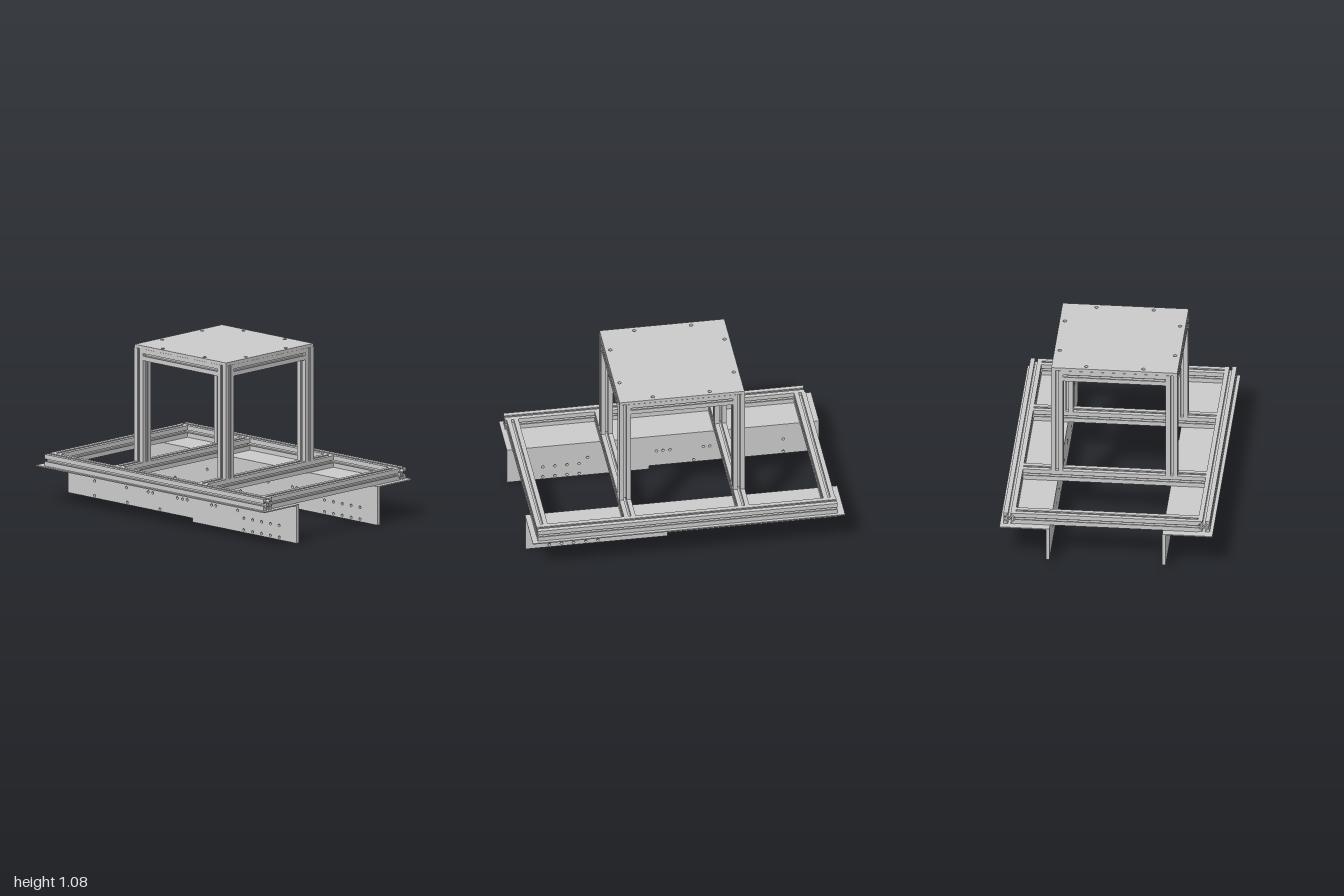
import * as THREE from 'three';

const material = new THREE.MeshStandardMaterial({ color: 0xcccccc, flatShading: true });
const HALF = 0.0375; // half the width of a slotted bar

// Cross-section of a T-slot bar: four slots, diagonal webs, bored core
function slotProfile() {
  const eighth = [[0.34, 0.2], [0.64, 0.5], [0.78, 0.5], [0.78, 0.22], [1, 0.22]];
  const quarter = [...eighth, [1, 1], ...eighth.map(([x, y]) => [y, x]).reverse()];
  const points = [];
  for (let i = 0; i < 4; i++) {
    const c = [1, 0, -1, 0][i], s = [0, 1, 0, -1][i];
    for (const [x, y] of quarter) {
      points.push(new THREE.Vector2((x * c - y * s) * HALF, (x * s + y * c) * HALF));
    }
  }
  const shape = new THREE.Shape(points);
  addHole(shape, 0, 0, HALF * 0.18);
  return shape;
}

function addHole(shape, x, y, r) {
  const hole = new THREE.Path();
  hole.absarc(x, y, r, 0, Math.PI * 2, true);
  shape.holes.push(hole);
}

function extrude(shape, depth) {
  return new THREE.ExtrudeGeometry(shape, { depth, bevelEnabled: false, curveSegments: 8 });
}

export function createModel() {
  const model = new THREE.Group();
  const profile = slotProfile();

  function add(name, geometry, x, y, z) {
    const mesh = new THREE.Mesh(geometry, material);
    mesh.name = name;
    mesh.position.set(x, y, z);
    model.add(mesh);
  }

  // Slotted bar starting at (x, y, z) and running along the given axis
  function bar(name, axis, length, x, y, z) {
    const geometry = extrude(profile, length);
    if (axis === 'x') geometry.rotateY(Math.PI / 2);
    if (axis === 'y') geometry.rotateX(-Math.PI / 2);
    add(name, geometry, x, y, z);
  }

  // Base frame
  const baseY = 0.2875;
  bar('frontRail', 'x', 1.92, -0.945, baseY, 0.617);
  bar('backRail', 'x', 1.92, -0.955, baseY, -0.617);
  for (const x of [-0.913, -0.364, 0.364, 0.928]) {
    bar('crossRail', 'z', 1.159, x, baseY, -0.5795);
  }

  // Raised frame: four posts and the rails between their tops
  const p = 0.364, topY = 1.0225, gap = 2 * (p - HALF);
  for (const s of [-1, 1]) {
    for (const t of [-1, 1]) bar('post', 'y', 0.735, s * p, 0.325, t * p);
    bar('topSideRail', 'z', gap, s * p, topY, -gap / 2);
    bar('topCrossRail', 'x', gap, -gap / 2, topY, s * p);
  }

  // Table plate with a pair of screw holes along each edge
  const table = new THREE.Shape();
  table.moveTo(-0.4, -0.4);
  table.lineTo(0.4, -0.4);
  table.lineTo(0.4, 0.4);
  table.lineTo(-0.4, 0.4);
  for (const s of [-1, 1]) {
    for (const t of [-1, 1]) {
      addHole(table, s * 0.182, t * 0.366, 0.012);
      addHole(table, s * 0.366, t * 0.182, 0.012);
    }
  }
  add('tablePlate', extrude(table, 0.02).rotateX(-Math.PI / 2), 0, 1.06, 0);

  // Stepped side plate, drilled for fixings
  const side = new THREE.Shape();
  side.moveTo(-1, 0.025);
  side.lineTo(0.09, 0.025);
  side.lineTo(0.09, 0);
  side.lineTo(1, 0);
  side.lineTo(1, 0.243);
  side.lineTo(-1, 0.243);
  for (const x of [-0.77, -0.49, -0.3, -0.26, -0.045, 0, 0.042, 0.255, 0.292, 0.483]) {
    addHole(side, x, 0.135, 0.009);
  }
  for (const x of [-0.77, -0.483, -0.197]) addHole(side, x, 0.04, 0.009);
  for (let i = 0; i < 5; i++) {
    addHole(side, 0.537 + i * 0.0775, 0.093, 0.009);
    addHole(side, 0.537 + i * 0.0775, 0.017, 0.009);
  }

  // One side plate and one flat flange under each long rail
  for (const s of [-1, 1]) {
    add('sidePlate', extrude(side, 0.022), 0, 0, s * 0.369 - 0.011);
    add('flange', new THREE.BoxGeometry(2, 0.007, 0.318), 0, 0.2465, s * 0.517);
  }

  return model;
}
